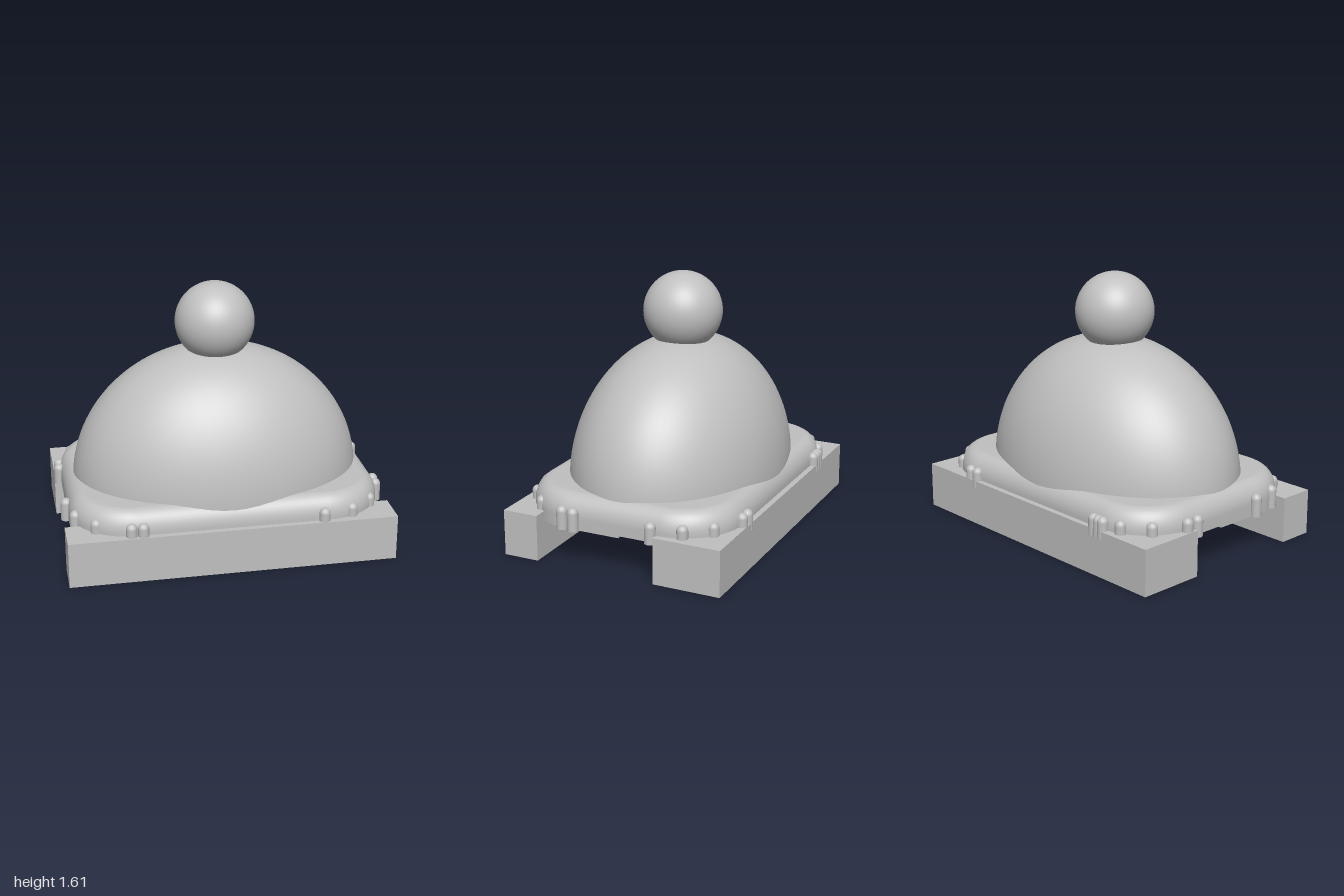
import * as THREE from 'three';

const grey = new THREE.MeshStandardMaterial({ color: 0xc0c0c0 });
grey.name = 'plain grey';

const HALF_X = 0.96, HALF_Z = 0.67, CORNER = 0.37;

function add(parent, name, geometry, x = 0, y = 0, z = 0) {
  const mesh = new THREE.Mesh(geometry, grey);
  mesh.name = name;
  mesh.position.set(x, y, z);
  parent.add(mesh);
  return mesh;
}

// Rounded rectangle outline, shrunk by inset, as [x, z] pairs
function outline(inset, steps = 12) {
  const pts = [];
  const r = CORNER - inset;
  const centres = [[1, 1], [-1, 1], [-1, -1], [1, -1]];
  centres.forEach(([sx, sz], q) => {
    for (let i = 0; i <= steps; i++) {
      const a = (q + i / steps) * Math.PI / 2;
      pts.push([sx * (HALF_X - CORNER) + r * Math.cos(a), sz * (HALF_Z - CORNER) + r * Math.sin(a)]);
    }
  });
  return pts;
}

// Slab side and rounded shoulder, lofted through shrinking outlines up to a flat top
function slabGeometry(bottom, top, bevelWidth, bevelHeight) {
  const rings = [[0, bottom]];
  for (let i = 0; i <= 10; i++) {
    const a = (i / 10) * Math.PI / 2;
    rings.push([bevelWidth * (1 - Math.cos(a)), top - bevelHeight * (1 - Math.sin(a))]);
  }
  const pos = [], index = [];
  const n = outline(0).length;
  for (const [inset, y] of rings) for (const [x, z] of outline(inset)) pos.push(x, y, z);
  for (let r = 0; r < rings.length - 1; r++) {
    for (let i = 0; i < n; i++) {
      const a = r * n + i, b = r * n + (i + 1) % n;
      index.push(a, a + n, b, b, a + n, b + n);
    }
  }
  const centre = pos.length / 3, last = (rings.length - 1) * n;
  pos.push(0, top, 0);
  for (let i = 0; i < n; i++) index.push(last + i, centre, last + (i + 1) % n);
  const geometry = new THREE.BufferGeometry();
  geometry.setAttribute('position', new THREE.Float32BufferAttribute(pos, 3));
  geometry.setIndex(index);
  geometry.computeVertexNormals();
  return geometry;
}

// Flat plate following the slab outline, cut straight at zMin
function plateGeometry(zMin, thickness) {
  const pts = outline(0).map(([x, z]) => new THREE.Vector2(x, -Math.max(z, zMin)));
  const shape = new THREE.Shape(pts.filter((p, i) => i === 0 || p.distanceTo(pts[i - 1]) > 1e-5));
  return new THREE.ExtrudeGeometry(shape, { depth: thickness, bevelEnabled: false }).rotateX(-Math.PI / 2);
}

export function createModel() {
  const model = new THREE.Group();
  model.name = 'domeOnBars';

  // Two supporting bars, the back one wider
  add(model, 'frontBar', new THREE.BoxGeometry(2, 0.285, 0.225), 0, 0.1425, 0.5925);
  add(model, 'backBar', new THREE.BoxGeometry(2, 0.285, 0.42), 0, 0.1425, -0.495);

  // Slab with its underside, lower in the front half
  const slab = new THREE.Group();
  slab.name = 'slab';
  model.add(slab);
  add(slab, 'slabBody', slabGeometry(0.238, 0.43, 0.1, 0.13));
  add(slab, 'slabUnderside', plateGeometry(-HALF_Z, 0.012), 0, 0.238, 0);
  add(slab, 'slabLowerStep', plateGeometry(-0.045, 0.013), 0, 0.225, 0);

  // Oval dome: upper part of an ellipsoid
  const dome = new THREE.SphereGeometry(1, 72, 32, 0, Math.PI * 2, 0, Math.PI / 2);
  dome.scale(0.9, 0.855, 0.645);
  add(model, 'dome', dome, 0, 0.36, 0);

  // Ball on top
  add(model, 'ball', new THREE.SphereGeometry(0.245, 48, 32), 0, 1.365, 0);

  // Round-topped pegs around the slab edge
  const pegs = new THREE.Group();
  pegs.name = 'pegs';
  model.add(pegs);
  const R = 0.034;
  const spots = [
    [-0.62, 0.665], [-0.55, 0.67], [0.55, 0.67], [0.73, 0.63], [0.87, 0.515], [0.965, 0.325],
    [0.97, 0.25], [-0.82, 0.57], [-0.93, 0.43], [-0.97, 0.25],
    [-0.62, -0.675], [-0.585, -0.675], [-0.545, -0.675], [0.545, -0.675], [0.615, -0.672],
    [0.815, -0.582], [0.93, -0.44], [0.97, -0.255], [-0.73, -0.64], [-0.875, -0.53],
    [-0.965, -0.335], [-0.97, -0.26],
  ];
  for (const [x, z] of spots) {
    const bottom = z > 0 ? 0.225 : 0.238;
    const profile = [new THREE.Vector2(0, bottom), new THREE.Vector2(R, bottom), new THREE.Vector2(R, bottom)];
    for (let i = 0; i <= 6; i++) {
      const a = (i / 6) * Math.PI / 2;
      profile.push(new THREE.Vector2(R * Math.cos(a), 0.332 + R * Math.sin(a)));
    }
    add(pegs, 'peg', new THREE.LatheGeometry(profile, 16), x, 0, z);
  }
  return model;
}
